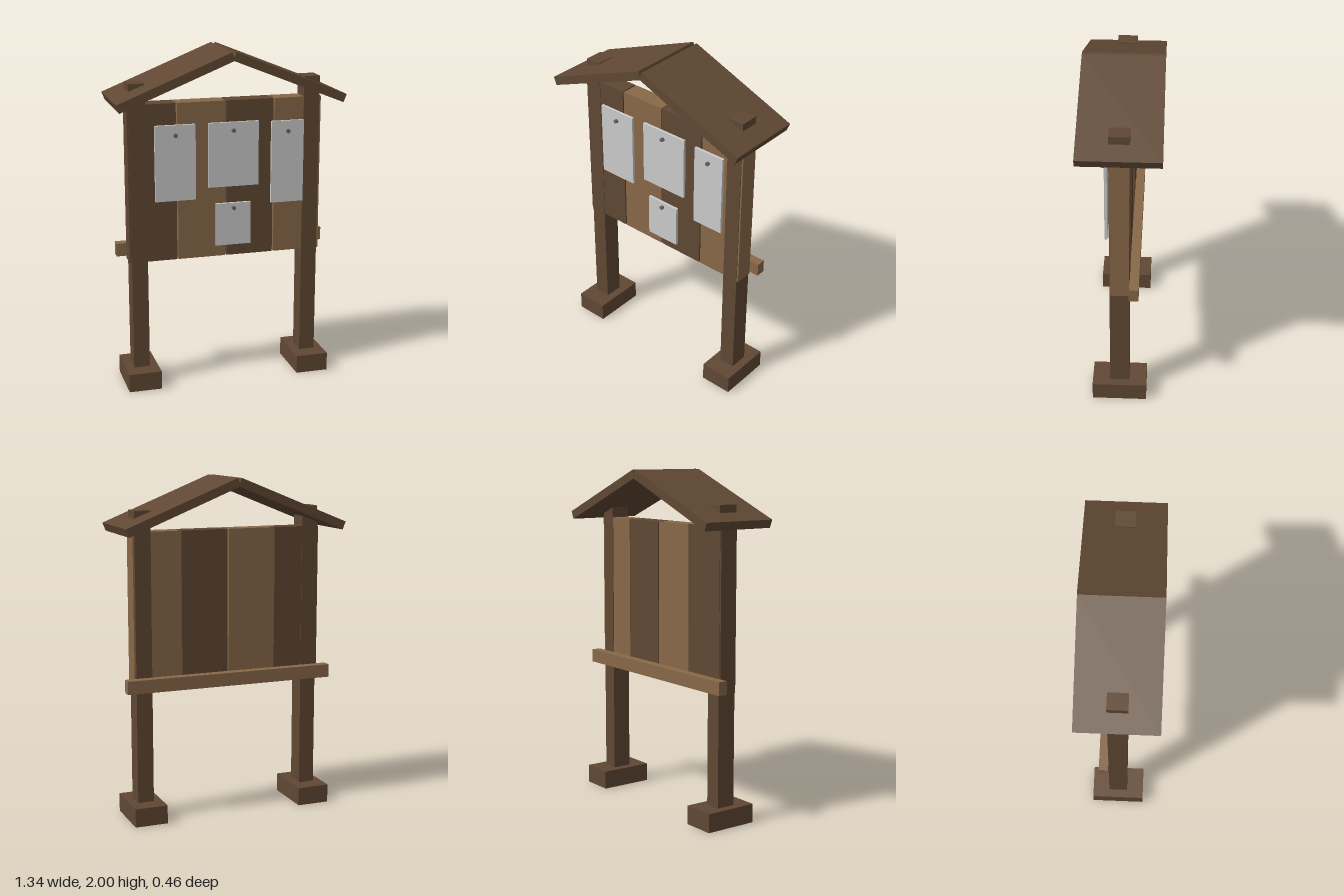
import * as THREE from 'three';

const material = (color) => new THREE.MeshStandardMaterial({ color });

export function createModel() {
  const model = new THREE.Group();
  const darkWood = material(0x604833);
  const lightWood = material(0x886848);
  const paper = new THREE.MeshStandardMaterial({ color: 0xcccccc });
  const metal = material(0x666666);

  // Box given by its extents on each axis
  function box(name, mat, [x0, x1], [y0, y1], [z0, z1]) {
    const mesh = new THREE.Mesh(new THREE.BoxGeometry(x1 - x0, y1 - y0, z1 - z0), mat);
    mesh.position.set((x0 + x1) / 2, (y0 + y1) / 2, (z0 + z1) / 2);
    mesh.name = name;
    model.add(mesh);
    return mesh;
  }

  // Posts, feet and pitched roof panels, mirrored left and right
  const pitch = Math.atan2(0.265, 0.66);
  const roofLength = 0.711, roofThickness = 0.05;
  for (const side of [1, -1]) {
    const label = side > 0 ? 'left' : 'right';
    const x = side * 0.522;
    box(label + 'Foot', darkWood, [x - 0.098, x + 0.098], [0, 0.11], [-0.16, 0.16]);
    box(label + 'Post', darkWood, [x - 0.048, x + 0.048], [0.1, 1.82], [-0.057, 0.057]);

    // Panel pivots on its upper inner edge at the ridge
    const roof = new THREE.Group();
    roof.name = label + 'Roof';
    const panel = new THREE.Mesh(new THREE.BoxGeometry(roofLength, roofThickness, 0.46), darkWood);
    panel.name = label + 'RoofPanel';
    panel.position.set(side * roofLength / 2, -roofThickness / 2, 0);
    roof.add(panel);
    roof.position.set(side * 0.012, 2, 0);
    roof.rotation.z = -side * pitch;
    model.add(roof);
  }

  // Four alternating vertical boards, just thinner than the posts
  for (let i = 0; i < 4; i++) {
    const x = (i - 1.5) * 0.292;
    box('board' + (i + 1), i % 2 ? lightWood : darkWood,
      [x - 0.142, x + 0.142], [0.768, 1.7], [-0.054, 0.054]);
  }

  // Rail across the back
  box('backRail', lightWood, [-0.638, 0.638], [0.78, 0.858], [-0.11, -0.055]);

  // Notices: x range, y range, centre z, pin position
  const notices = [
    [[-0.43, -0.19], [1.135, 1.58], 0.086, [-0.31, 1.52]],
    [[-0.112, 0.19], [1.197, 1.578], 0.078, [0.037, 1.53]],
    [[0.268, 0.466], [1.08, 1.57], 0.08, [0.367, 1.508]],
    [[-0.07, 0.142], [0.843, 1.098], 0.083, [0.037, 1.068]],
  ];
  const pinGeometry = new THREE.CylinderGeometry(0.012, 0.012, 0.02, 12).rotateX(Math.PI / 2);
  notices.forEach(([xs, ys, z, [px, py]], i) => {
    box('notice' + (i + 1), paper, xs, ys, [z - 0.008, z + 0.008]);
    const pin = new THREE.Mesh(pinGeometry, metal);
    pin.name = 'pin' + (i + 1);
    pin.position.set(px, py, z + 0.013);
    model.add(pin);
  });

  return model;
}
